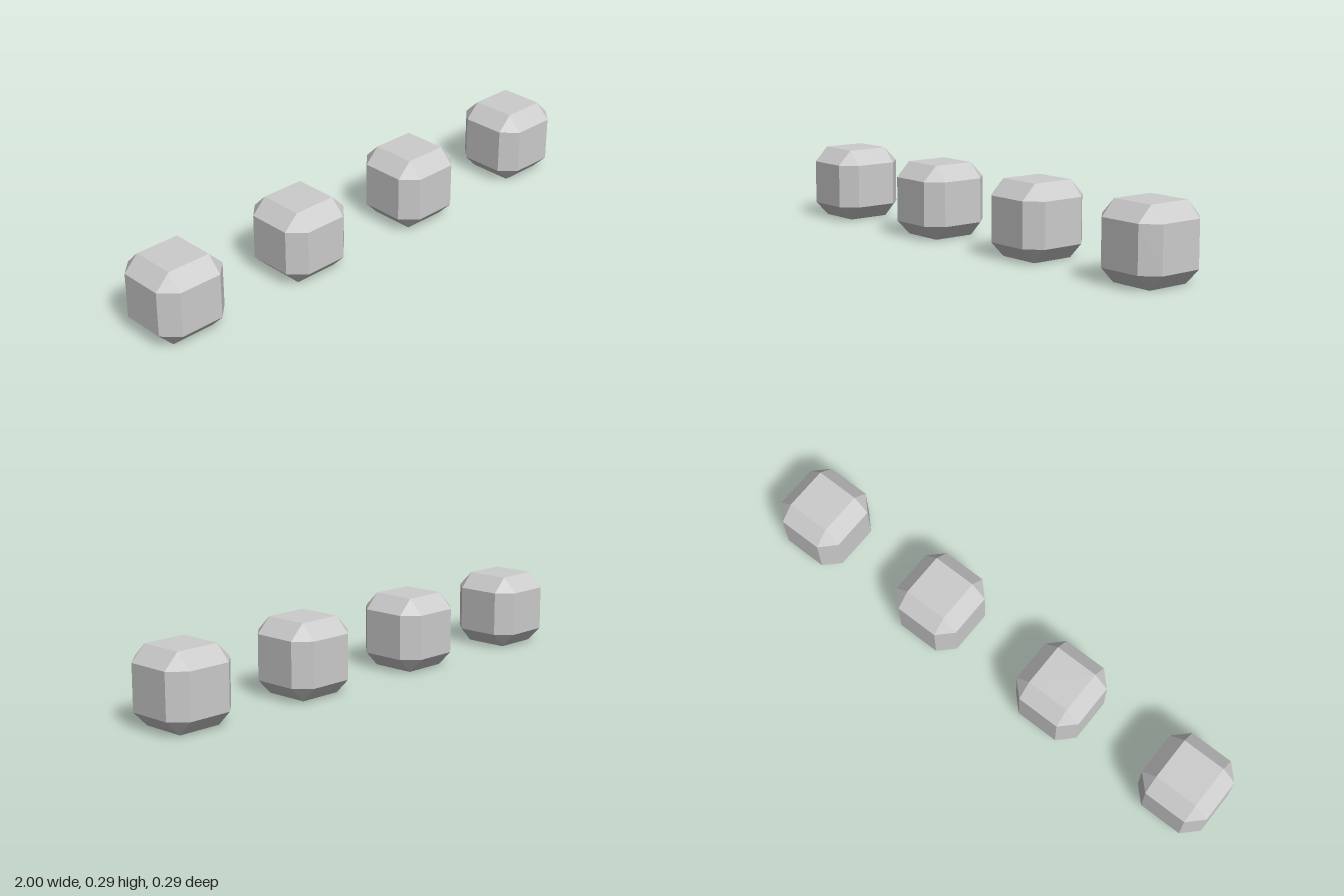
import * as THREE from 'three';
import { ConvexGeometry } from 'three/addons/geometries/ConvexGeometry.js';

const HALF = 1 / 7; // half the cube's width
const FLAT = 0.6 * HALF; // half the width of each flat face
const SPACING = 4 / 7;
const COUNT = 4;

// Cube with every edge bevelled and every corner cut to a triangle
function bevelledCube(h, f) {
  const points = [];
  for (const x of [-1, 1]) for (const y of [-1, 1]) for (const z of [-1, 1]) {
    points.push(
      new THREE.Vector3(x * h, y * f, z * f),
      new THREE.Vector3(x * f, y * h, z * f),
      new THREE.Vector3(x * f, y * f, z * h)
    );
  }
  return new ConvexGeometry(points);
}

export function createModel() {
  const group = new THREE.Group();
  group.name = 'bevelledCubeRow';
  const material = new THREE.MeshStandardMaterial({ color: 0xcccccc, flatShading: true });
  const geometry = bevelledCube(HALF, FLAT);

  // Row of evenly spaced cubes along x
  for (let i = 0; i < COUNT; i++) {
    const cube = new THREE.Mesh(geometry, material);
    cube.name = `bevelledCube${i + 1}`;
    cube.position.set((i - (COUNT - 1) / 2) * SPACING, HALF, 0);
    group.add(cube);
  }
  return group;
}
